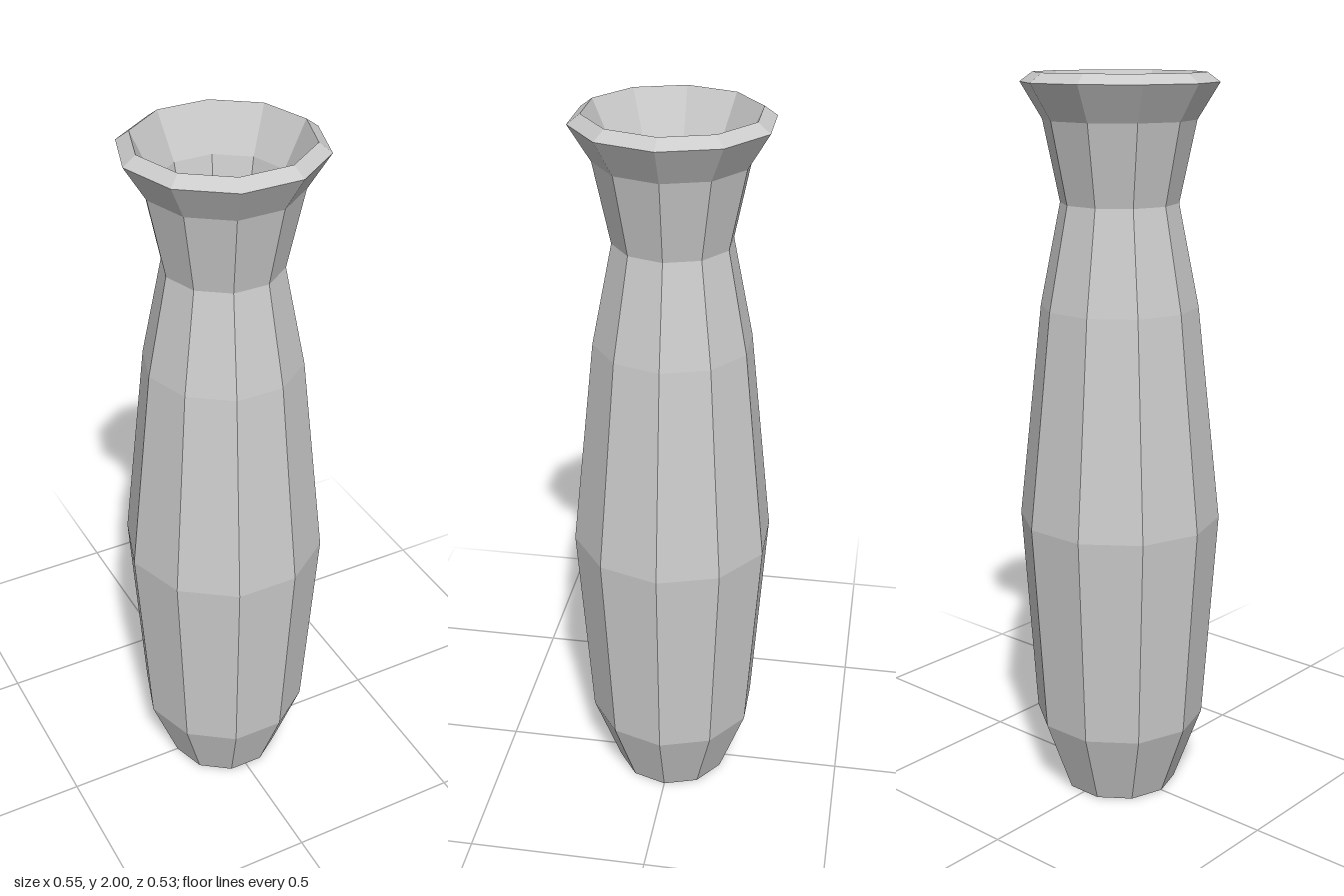
import * as THREE from 'three';

const SIDES = 10;

// Ten-sided turned surface with a corner on the +x and -x axes
function turned(name, profile, material) {
  const points = profile.map(([r, y]) => new THREE.Vector2(r, y));
  const mesh = new THREE.Mesh(new THREE.LatheGeometry(points, SIDES, Math.PI / 2), material);
  mesh.name = name;
  return mesh;
}

export function createModel() {
  const group = new THREE.Group();
  group.name = 'vase';
  const material = new THREE.MeshStandardMaterial({ color: 0xcccccc, flatShading: true });

  // Closed base, swelling belly, narrow neck and flared lip
  group.add(turned('body', [
    [0, 0], [0.16, 0], [0.237, 0.21], [0.277, 0.8], [0.213, 1.39],
    [0.158, 1.665], [0.203, 1.88], [0.261, 1.975],
  ], material));

  // Bevelled edge of the lip
  group.add(turned('rim', [[0.261, 1.975], [0.227, 2]], material));

  // Funnel-shaped hollow, running down to a small flat floor
  group.add(turned('hollow', [
    [0.227, 2], [0.17, 1.88], [0.125, 1.665], [0.06, 1.32], [0, 1.32],
  ], material));

  return group;
}
